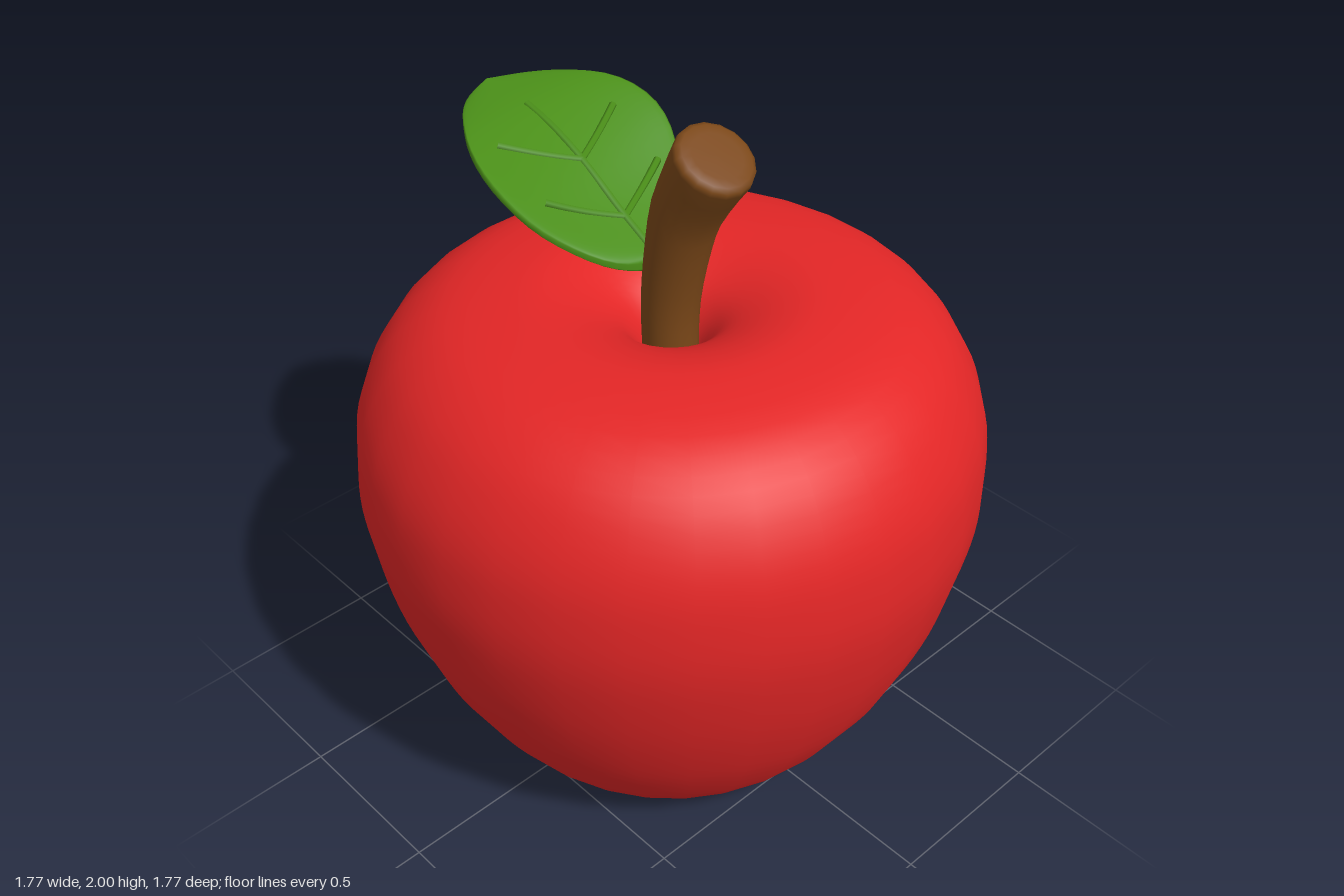
import * as THREE from 'three';
import { mergeVertices } from 'three/addons/utils/BufferGeometryUtils.js';

const flat = (name, color) => {
  const m = new THREE.MeshStandardMaterial({ color });
  m.name = name;
  return m;
};
const vec2 = (list) => list.map(([x, y]) => new THREE.Vector2(x, y));

// Move every vertex by a rule, weld, and smooth.
function reshape(geometry, rule) {
  const p = geometry.attributes.position;
  const v = new THREE.Vector3();
  for (let i = 0; i < p.count; i++) {
    v.fromBufferAttribute(p, i);
    rule(v);
    p.setXYZ(i, v.x, v.y, v.z);
  }
  geometry.deleteAttribute('uv');
  geometry.deleteAttribute('normal');
  const welded = mergeVertices(geometry, 1e-4);
  welded.computeVertexNormals();
  return welded;
}

// Leaf shape: s runs 0..1 from stem to tip, z is the distance from the midrib.
const rib = new THREE.SplineCurve(vec2([
  [-0.07, 1.535], [-0.22, 1.615], [-0.38, 1.712], [-0.57, 1.783], [-0.77, 1.799],
]));
const halfWidth = (s) => 0.012 + 0.308 * Math.pow(Math.max(0, Math.sin(Math.PI * s)), 0.72);
function leafPoint(s, z, lift) {
  const c = rib.getPoint(s);
  return new THREE.Vector3(c.x + 0.1 * z, c.y + 0.5 * z * z + lift, z - 0.01);
}

export function createModel() {
  const model = new THREE.Group();
  const red = flat('red skin', 0xe32626);
  const teal = flat('teal base', 0x2ec4b6);
  const brown = flat('brown stem', 0x7a4718);
  const green = flat('green leaf', 0x4a8e18);
  const add = (name, geometry, material, parent = model) => {
    const mesh = new THREE.Mesh(geometry, material);
    mesh.name = name;
    parent.add(mesh);
    return mesh;
  };

  // Body with the dimple at the top
  const sides = 32;
  const outline = new THREE.SplineCurve(vec2([
    [0.44, 0], [0.5, 0.025], [0.6, 0.135], [0.703, 0.3], [0.77, 0.44], [0.83, 0.61],
    [0.87, 0.78], [0.887, 0.91], [0.885, 1.03], [0.867, 1.15], [0.82, 1.265],
    [0.74, 1.373], [0.61, 1.452], [0.42, 1.482], [0.31, 1.472], [0.22, 1.44],
    [0.15, 1.395], [0.1, 1.33], [0.06, 1.25], [0, 1.22],
  ]));
  add('appleBody', new THREE.LatheGeometry(outline.getPoints(57), sides, Math.PI / sides), red);

  // Flat disc underneath
  const disc = add('baseDisc', new THREE.CircleGeometry(0.44, sides, Math.PI / sides), teal);
  disc.rotation.x = Math.PI / 2;

  // Stem: a flared column bent along a curve, with a rounded end
  const path = new THREE.SplineCurve(vec2([
    [0, 1.2], [-0.003, 1.45], [0.042, 1.7], [0.09, 1.82], [0.165, 1.948],
  ]));
  const profile = [[0, 0]];
  for (let i = 0; i <= 12; i++) {
    const t = i / 12 * 0.965;
    profile.push([0.077 + 0.037 * t * t, t]);
  }
  profile.push([0.109, 0.985], [0.096, 0.997], [0.07, 1], [0, 1]);
  add('stem', reshape(new THREE.LatheGeometry(vec2(profile), 16), (v) => {
    const c = path.getPointAt(v.y);
    const d = path.getTangentAt(v.y);
    v.set(c.x + v.x * d.y, c.y - v.x * d.x, v.z);
  }), brown);

  // Leaf: a plump slab with thin rims, cupped and curved
  const leaf = new THREE.Group();
  leaf.name = 'leaf';
  model.add(leaf);
  add('leafBlade', reshape(new THREE.BoxGeometry(1, 1, 1, 28, 1, 16), (v) => {
    const s = (1 + Math.cos(Math.PI * (v.x + 0.5))) / 2;
    const across = Math.sin(Math.PI * v.z);
    const thick = 0.016 + 0.03 * Math.sqrt(Math.max(0, 1 - across * across));
    v.copy(leafPoint(s, across * halfWidth(s), v.y * thick));
  }), green, leaf);

  // Raised veins: midrib and two pairs of side veins, as [s, z] ends
  const vein = (name, a, b, radius) => {
    const points = [];
    for (let i = 0; i <= 6; i++) {
      const t = i / 6;
      points.push(leafPoint(a[0] + (b[0] - a[0]) * t, a[1] + (b[1] - a[1]) * t, 0.02));
    }
    add(name, new THREE.TubeGeometry(new THREE.CatmullRomCurve3(points), 10, radius, 6), green, leaf);
  };
  vein('midrib', [0.01, 0], [0.78, 0], 0.012);
  for (const s of [0.21, 0.48]) {
    for (const side of [-1, 1]) vein('sideVein', [s, 0], [s + 0.14 + side * 0.03, side * 0.205], 0.011);
  }
  return model;
}
